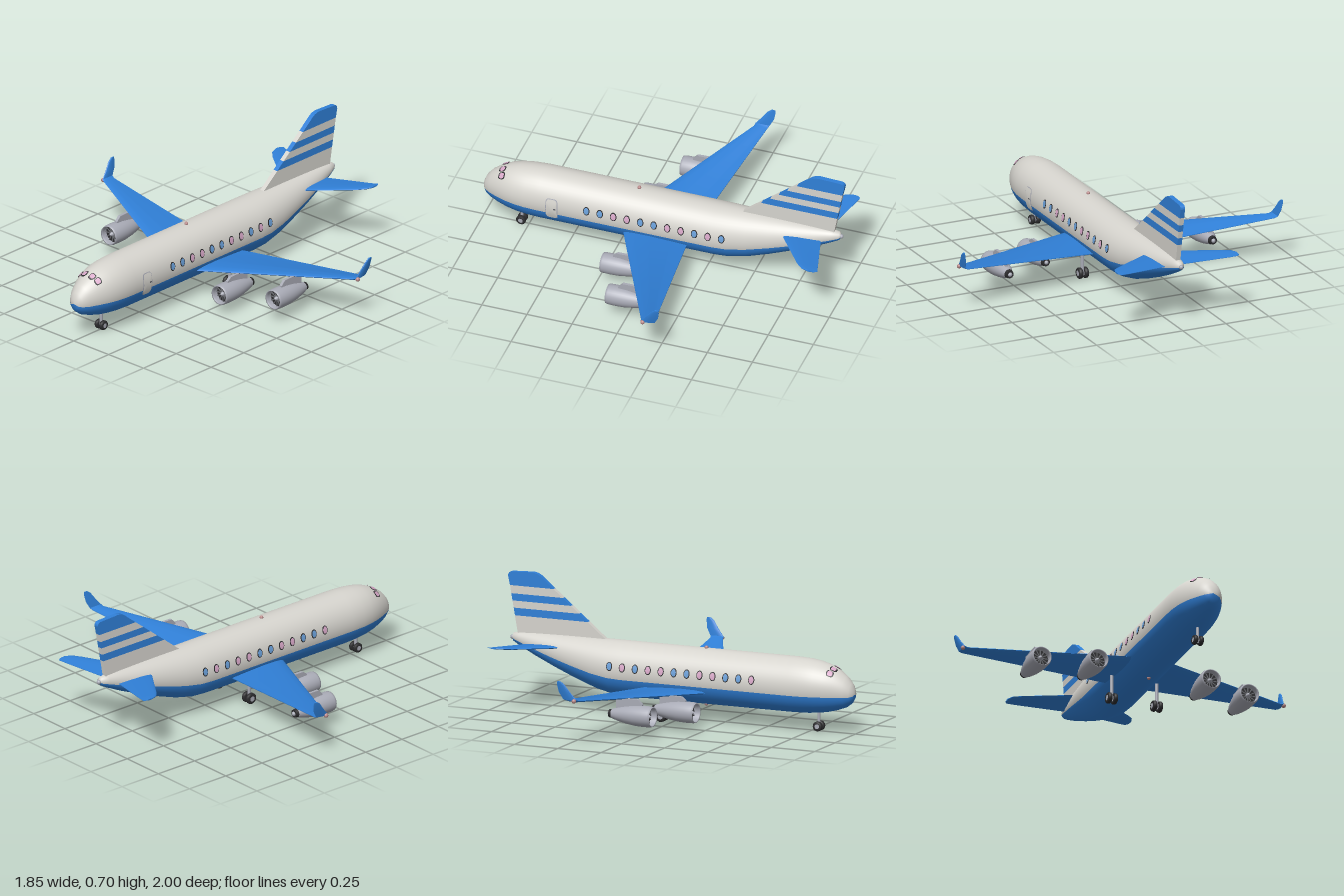
import * as THREE from 'three';
import { toCreasedNormals } from 'three/addons/utils/BufferGeometryUtils.js';

const paint = (name, color, side = THREE.FrontSide) =>
  Object.assign(new THREE.MeshStandardMaterial({ color, side }), { name });
const white = paint('hull white', 0xd6d4ce);
const blue = paint('livery blue', 0x3080d8);
const metal = paint('engine grey', 0xa9abb6);
const dark = paint('rubber black', 0x2c2c2e);
const steel = paint('fan steel', 0x6b6d72);
const sky = paint('blue glass', 0x6a9fd8);
const pink = paint('pink glass', 0xd8a8c8);
const lamp = paint('beacon rose', 0xb88888);

// Fuselage stations: z, bottom, top, half width
const stations = [
  [0.997, 0.21, 0.21, 0], [0.993, 0.182, 0.238, 0.026], [0.98, 0.16, 0.268, 0.046], [0.95, 0.138, 0.303, 0.067],
  [0.9, 0.12, 0.338, 0.092], [0.85, 0.107, 0.36, 0.111], [0.8, 0.099, 0.373, 0.124], [0.74, 0.093, 0.381, 0.132],
  [0.66, 0.09, 0.385, 0.135], [0.2, 0.09, 0.385, 0.135], [-0.3, 0.09, 0.385, 0.135], [-0.38, 0.095, 0.385, 0.132],
  [-0.48, 0.118, 0.385, 0.121], [-0.6, 0.16, 0.385, 0.102], [-0.72, 0.208, 0.384, 0.081], [-0.84, 0.26, 0.382, 0.056],
  [-0.93, 0.304, 0.379, 0.035], [-0.97, 0.326, 0.372, 0.022], [-0.982, 0.348, 0.348, 0],
];

// Point on the hull at an angle (0 = +x side, PI/2 = top) and z
function hullPoint(a, z, lift = 0) {
  let i = 0;
  while (i < stations.length - 2 && stations[i + 1][0] > z) i++;
  const A = stations[i], B = stations[i + 1], t = (A[0] - z) / (A[0] - B[0]);
  const [lo, hi, w] = [1, 2, 3].map(k => A[k] + (B[k] - A[k]) * t);
  return [(w + lift) * Math.cos(a), (lo + hi) / 2 + ((hi - lo) / 2 + lift) * Math.sin(a), z];
}

function fromIndexed(pos, index) {
  const g = new THREE.BufferGeometry();
  g.setAttribute('position', new THREE.Float32BufferAttribute(pos, 3));
  g.setIndex(index);
  g.computeVertexNormals();
  return g;
}

// Hull rings, with the lower band of each ring in blue
function hullGeometry() {
  const N = 48, pos = [], upper = [], lower = [];
  stations.forEach(s => {
    for (let i = 0; i < N; i++) pos.push(...hullPoint(i / N * Math.PI * 2, s[0]));
  });
  for (let j = 0; j < stations.length - 1; j++) for (let i = 0; i < N; i++) {
    const a = j * N + i, b = j * N + (i + 1) % N, c = a + N, d = b + N;
    (i >= 26 && i < 46 ? lower : upper).push(c, d, b, c, b, a);
  }
  const g = fromIndexed(pos, [...upper, ...lower]);
  g.addGroup(0, upper.length, 0);
  g.addGroup(upper.length, lower.length, 1);
  return g;
}

// Thin rounded plate lying on the hull; a higher power makes it squarer
function platePatch(a0, z0, ha, hz, power, lift) {
  const N = 28, R = 4, pos = hullPoint(a0, z0, lift), index = [];
  const bend = v => Math.sign(v) * Math.abs(v) ** (2 / power);
  for (let r = 1; r <= R; r++) for (let i = 0; i < N; i++) {
    const t = i / N * Math.PI * 2;
    pos.push(...hullPoint(a0 + ha * r / R * bend(Math.cos(t)), z0 + hz * r / R * bend(Math.sin(t)), lift));
  }
  for (let i = 0; i < N; i++) {
    const n = (i + 1) % N;
    index.push(0, 1 + i, 1 + n);
    for (let r = 1; r < R; r++) {
      const a = 1 + (r - 1) * N + i, b = 1 + (r - 1) * N + n;
      index.push(a, a + N, b + N, a, b + N, b);
    }
  }
  return fromIndexed(pos, index);
}

// Wing surface through ribs: x, y, front z, back z, half thickness, tilt of thickness toward -x
const airfoil = [[0, 0], [0.04, 0.5], [0.15, 0.85], [0.4, 1], [0.75, 0.6], [1, 0.15],
  [1, -0.15], [0.75, -0.6], [0.4, -1], [0.15, -0.85], [0.04, -0.5]];
function wingGeometry(ribs, s) {
  const N = airfoil.length, pos = [], index = [];
  const tri = (a, b, c) => index.push(a, s > 0 ? b : c, s > 0 ? c : b);
  ribs.forEach(([x, y, zf, zb, t, tilt = 0]) => airfoil.forEach(([u, v]) =>
    pos.push(s * (x - v * t * Math.sin(tilt)), y + v * t * Math.cos(tilt), zf + (zb - zf) * u)));
  for (let k = 0; k < ribs.length - 1; k++) for (let i = 0; i < N; i++) {
    const a = k * N + i, b = k * N + (i + 1) % N;
    tri(a, a + N, b + N);
    tri(a, b + N, b);
  }
  const e = (ribs.length - 1) * N;
  for (let i = 1; i < N - 1; i++) tri(e, e + i + 1, e + i);
  return toCreasedNormals(fromIndexed(pos, index), 0.6);
}

export function createModel() {
  const model = new THREE.Group();
  model.name = 'airliner';
  const add = (name, geo, mat, x = 0, y = 0, z = 0, parent = model) => {
    const m = new THREE.Mesh(geo, mat);
    m.name = name;
    m.position.set(x, y, z);
    parent.add(m);
    return m;
  };
  add('fuselage', hullGeometry(), [white, blue]);

  // Cabin windows: eleven on the left, twelve on the right
  const tints = [sky, pink, sky, pink, pink, sky, sky, pink, pink, sky, sky, pink];
  for (const s of [1, -1]) for (let i = 0; i < (s > 0 ? 11 : 12); i++) {
    const a = s > 0 ? 0.19 : Math.PI - 0.19, z = -0.36 + i * 0.0747;
    add('windowFrame', platePatch(a, z, 0.165, 0.018, 2, 0.003), dark);
    add('windowPane', platePatch(a, z, 0.13, 0.0135, 2, 0.005), tints[i]);
  }
  // Cockpit windows
  for (const s of [1, -1]) for (const [a, z] of [[1.3, 0.888], [0.91, 0.882]]) {
    const angle = s > 0 ? a : Math.PI - a;
    add('cockpitFrame', platePatch(angle, z, 0.18, 0.019, 3, 0.003), dark);
    add('cockpitPane', platePatch(angle, z, 0.14, 0.013, 3, 0.005), pink);
  }
  // Cabin door on one side
  add('doorEdge', platePatch(-0.05, 0.58, 0.43, 0.034, 5, 0.003), metal);
  add('door', platePatch(-0.05, 0.58, 0.405, 0.03, 5, 0.005), white);
  add('doorHandle', platePatch(0, 0.562, 0.03, 0.007, 3, 0.007), steel);

  // Tail fin in horizontal bands
  const lead = y => -0.44 - 1.241 * (y - 0.385), trail = y => -0.945 - 0.18 * (y - 0.38);
  const levels = [0.365, 0.466, 0.506, 0.544, 0.582, 0.625, 0.675];
  for (let i = 0; i < 6; i++) {
    const y0 = levels[i], y1 = levels[i + 1], shape = new THREE.Shape();
    shape.moveTo(trail(y0), y0).lineTo(lead(y0), y0).lineTo(lead(y1), y1);
    if (i === 5) shape.quadraticCurveTo(-0.825, 0.7, -0.86, 0.703).lineTo(-0.975, 0.698).quadraticCurveTo(-1, 0.698, -1, 0.675);
    else shape.lineTo(trail(y1), y1);
    const g = new THREE.ExtrudeGeometry(shape, { depth: 0.026, bevelEnabled: false });
    add('finBand', g.translate(0, 0, -0.013).rotateY(-Math.PI / 2), i % 2 ? blue : white);
  }

  // Engine shapes, front at z = 0
  const spin = pts => new THREE.LatheGeometry(pts.map(p => new THREE.Vector2(...p)), 32).rotateX(Math.PI / 2);
  const cowl = spin([[0.025, -0.235], [0.036, -0.2], [0.047, -0.15], [0.054, -0.1], [0.056, -0.05],
    [0.055, -0.012], [0.052, 0], [0.048, -0.003], [0.046, -0.012], [0.046, -0.04]]);
  const spinner = spin([[0.013, -0.035], [0.009, -0.02], [0, -0.012]]);
  const nozzle = new THREE.CylinderGeometry(0.026, 0.021, 0.025, 24).rotateX(Math.PI / 2);
  const fanDisc = new THREE.CircleGeometry(0.047, 32);
  const blade = new THREE.BoxGeometry(0.005, 0.036, 0.004).translate(0, 0.028, 0);
  const ball = r => new THREE.SphereGeometry(r, 16, 12);

  // Twin-wheel landing gear
  const wheel = (name, x, z, r, half, top) => {
    const g = new THREE.Group();
    g.name = name;
    g.position.set(x, 0, z);
    model.add(g);
    add('strut', new THREE.CylinderGeometry(r * 0.32, r * 0.32, top - r, 12), metal, 0, (top + r) / 2, 0, g);
    add('axle', new THREE.CylinderGeometry(0.006, 0.006, half * 2, 10).rotateZ(Math.PI / 2), metal, 0, r, 0, g);
    for (const s of [1, -1]) {
      const tyre = [[0.5, -0.011], [0.85, -0.011], [1, -0.006], [1, 0.006], [0.85, 0.011], [0.5, 0.011]];
      const geo = new THREE.LatheGeometry(tyre.map(p => new THREE.Vector2(p[0] * r, p[1])), 24);
      add('tyre', geo.rotateZ(Math.PI / 2), dark, s * half, r, 0, g);
      add('hub', new THREE.CylinderGeometry(r * 0.52, r * 0.52, 0.02, 20).rotateZ(Math.PI / 2), metal, s * half, r, 0, g);
    }
  };
  wheel('noseGear', 0, 0.79, 0.026, 0.016, 0.12);

  for (const s of [1, -1]) {
    // Wing with upturned tip, and tailplane
    add('wing', wingGeometry([[0.05, 0.163, 0.221, -0.155, 0.014], [0.89, 0.238, -0.182, -0.256, 0.008],
      [0.907, 0.246, -0.185, -0.262, 0.007, 0.8], [0.914, 0.285, -0.218, -0.284, 0.006, 1.4],
      [0.921, 0.325, -0.247, -0.291, 0.005, 1.4], [0.923, 0.341, -0.268, -0.29, 0.004, 1.4]], s), blue);
    add('tailplane', wingGeometry([[0.02, 0.322, -0.64, -0.874, 0.009], [0.3, 0.348, -0.84, -0.954, 0.006],
      [0.338, 0.353, -0.876, -0.965, 0.005], [0.35, 0.354, -0.91, -0.95, 0.004]], s), blue);
    add('wingtipLight', ball(0.012), lamp, s * 0.912, 0.24, -0.198);
    wheel('mainGear', s * 0.128, -0.055, 0.03, 0.016, 0.17);

    // Two engines under each wing
    for (const [x, y, z, wingY] of [[0.32, 0.105, 0.232, 0.187], [0.59, 0.122, 0.108, 0.211]]) {
      const e = new THREE.Group();
      e.name = 'engine';
      e.position.set(s * x, y, z);
      model.add(e);
      add('cowl', cowl, metal, 0, 0, 0, e);
      add('nozzle', nozzle, dark, 0, 0, -0.238, e);
      add('exhaustCone', ball(0.012), metal, 0, 0, -0.25, e);
      add('fanDisc', fanDisc, dark, 0, 0, -0.036, e);
      add('spinner', spinner, metal, 0, 0, 0, e);
      for (let i = 0; i < 12; i++) {
        const b = add('fanBlade', blade, steel, 0, 0, -0.032, e);
        b.rotation.z = i / 12 * Math.PI * 2;
      }
      // Pylon reaching from the cowl to the wing
      const h = wingY - y, shape = new THREE.Shape();
      shape.moveTo(-0.06, 0.045).lineTo(-0.06, 0.062).lineTo(-0.085, h - 0.002).lineTo(-0.21, h).lineTo(-0.21, 0.03);
      const g = new THREE.ExtrudeGeometry(shape, { depth: 0.016, bevelEnabled: false });
      add('pylon', g.translate(0, 0, -0.008).rotateY(-Math.PI / 2), metal, 0, 0, 0, e);
    }
  }

  // Beacons above and below, and the tail exhaust
  add('topBeacon', ball(0.01), lamp, 0, 0.388, 0.14);
  add('bellyBeacon', ball(0.01), lamp, 0, 0.088, 0.14);
  add('tailLight', ball(0.012), metal, 0, 0.348, -0.98);
  return model;
}
